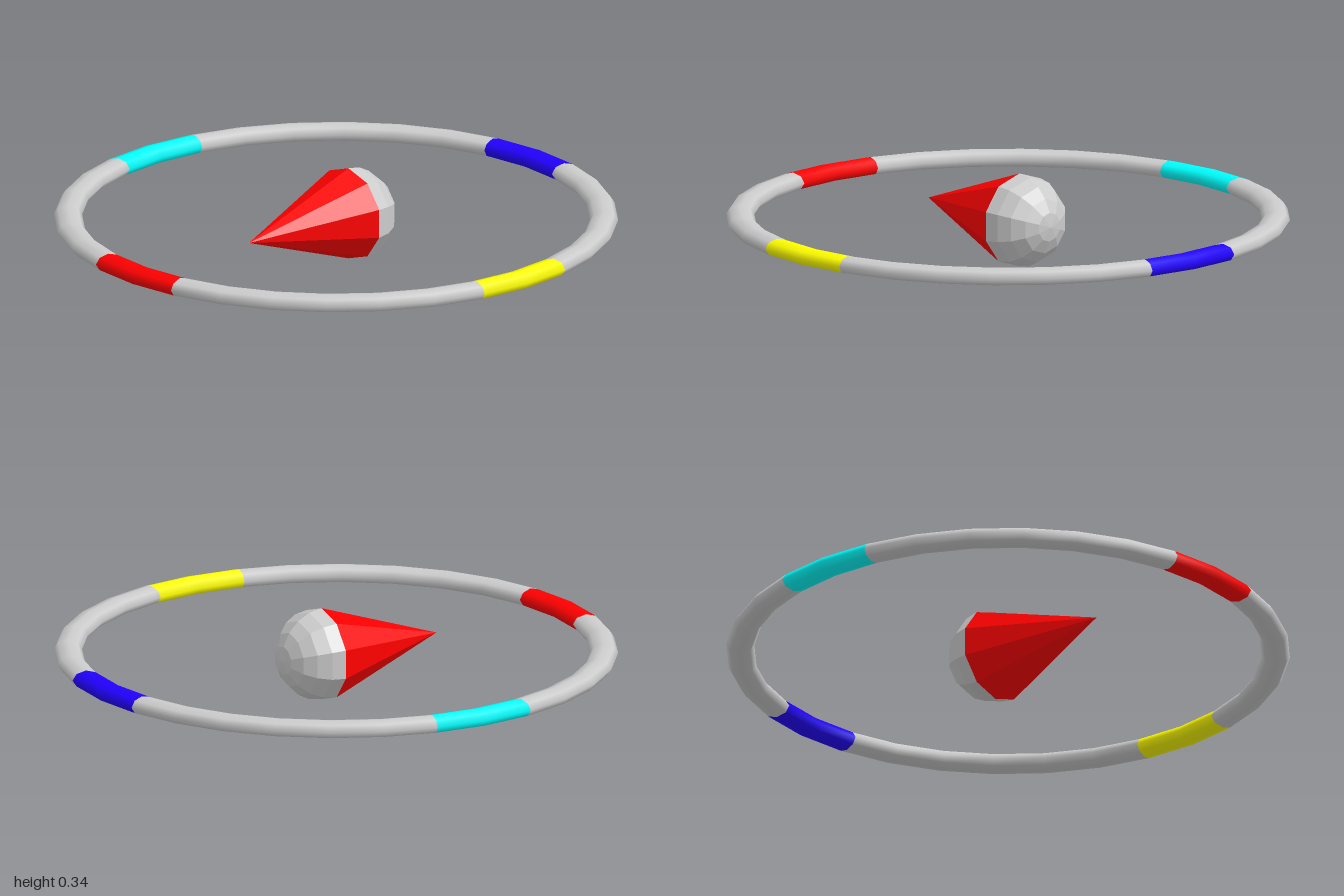
import * as THREE from 'three';

const GREY = 0xcccccc;
const CENTER_Y = 0.168;   // height of the ring plane and pointer axis
const STEP = Math.PI / 16; // ring has 32 segments

function part(name, geometry, color, flatShading = false) {
  const mesh = new THREE.Mesh(geometry, new THREE.MeshStandardMaterial({ color, flatShading }));
  mesh.name = name;
  return mesh;
}

// Arc of the flattened ring: angle 0 is +x, a quarter turn is +z
function ringArc(startStep, steps) {
  return new THREE.TorusGeometry(0.948, 0.05, 8, steps, steps * STEP)
    .rotateZ(startStep * STEP)
    .scale(1, 1, 0.64)
    .rotateX(Math.PI / 2);
}

export function createModel() {
  const model = new THREE.Group();
  model.name = 'directionMarker';

  // Ring: four coloured marks with grey arcs between them
  const ring = new THREE.Group();
  ring.name = 'ring';
  const marks = [
    ['leftMark', 0xffff00],
    ['frontMark', 0xff0000],
    ['rightMark', 0x00ffff],
    ['backMark', 0x2200ff],
  ];
  marks.forEach(([name, color], i) => {
    ring.add(part(name, ringArc(i * 8 - 1, 2), color));
    ring.add(part('ringArc' + (i + 1), ringArc(i * 8 + 1, 6), GREY));
  });
  model.add(ring);

  // Pointer: ten-sided cone facing front with a faceted dome behind it
  const pointer = new THREE.Group();
  pointer.name = 'pointer';
  const radius = 0.168, length = 0.48;
  const cone = new THREE.ConeGeometry(radius, length, 10, 1, true)
    .rotateX(Math.PI / 2)
    .translate(0, 0, length / 2);
  const dome = new THREE.SphereGeometry(radius, 10, 5, Math.PI / 2, Math.PI * 2, 0, Math.PI / 2)
    .rotateX(-Math.PI / 2);
  pointer.add(part('pointerCone', cone, 0xff0000, true), part('pointerDome', dome, GREY, true));
  pointer.position.z = -0.06;
  model.add(pointer);

  model.children.forEach((child) => { child.position.y = CENTER_Y; });
  return model;
}
